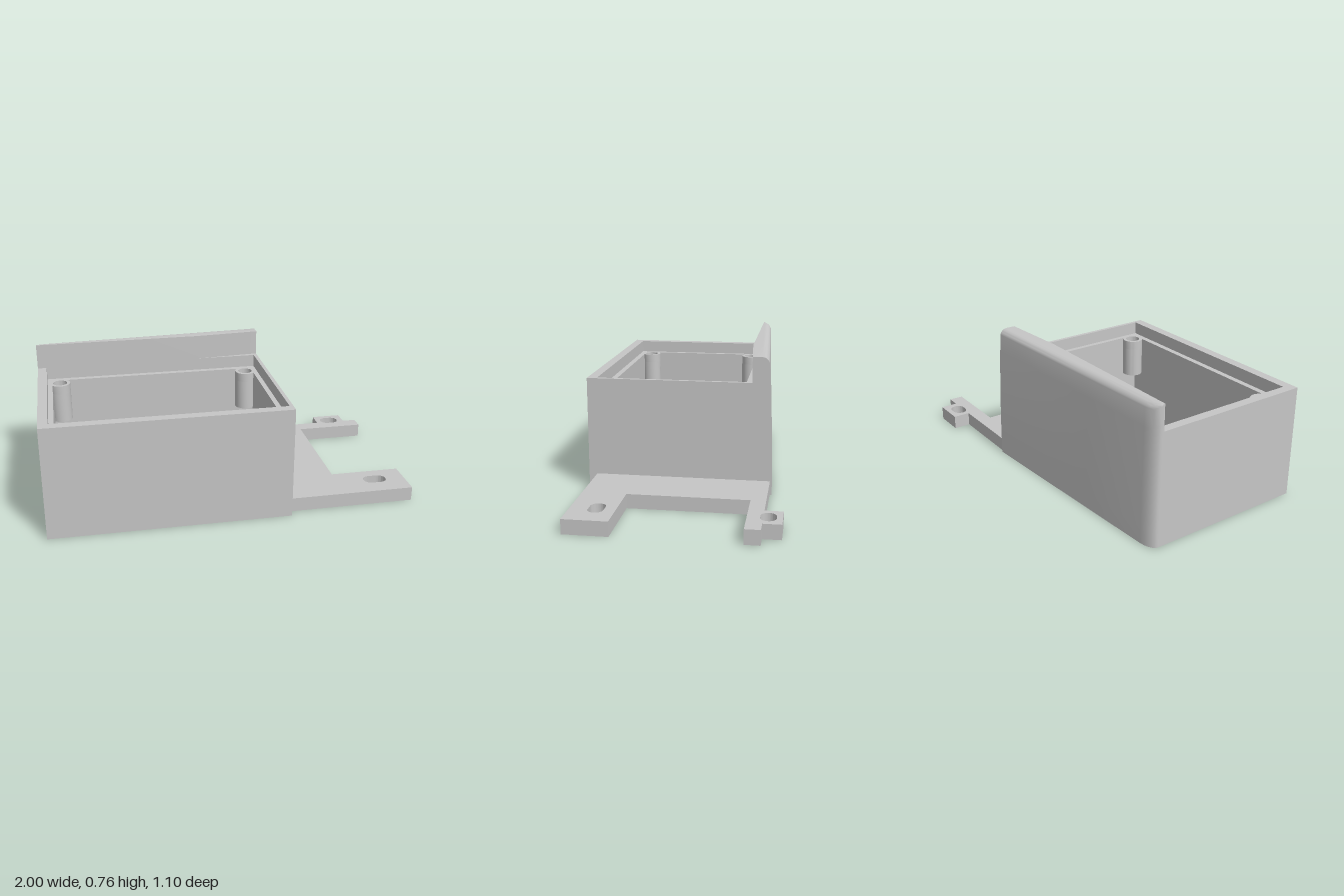
import * as THREE from 'three';
import { toCreasedNormals } from 'three/addons/utils/BufferGeometryUtils.js';

const grey = new THREE.MeshStandardMaterial({ color: 0xc6c6c6 });
grey.name = 'plain grey';

const H = 0.62, TOP = 0.76, LEDGE = 0.55, POST_BASE = 0.33;

// Plan points are [x, z]; shapes use y = -z so they can be laid flat
const toPlan = (pts) => pts.map(([x, z]) => new THREE.Vector2(x, -z));
const rect = (x0, x1, z0, z1) => toPlan([[x0, z1], [x1, z1], [x1, z0], [x0, z0]]);

function circle(x, z, r) {
  return new THREE.Path().absarc(x, -z, r, 0, Math.PI * 2).getPoints(16).slice(0, -1);
}

function slot(x, z, w, h) {
  const r = h / 2, d = w / 2 - r;
  const path = new THREE.Path();
  path.absarc(x + d, -z, r, -Math.PI / 2, Math.PI / 2);
  path.absarc(x - d, -z, r, Math.PI / 2, Math.PI * 1.5);
  return path.getPoints(12);
}

// Upright slab from a counter-clockwise plan outline with holes
function slab(name, outline, holes, y0, y1) {
  const shape = new THREE.Shape(outline);
  shape.holes = holes.map((h) => new THREE.Path(h));
  const geo = new THREE.ExtrudeGeometry(shape, { depth: y1 - y0, bevelEnabled: false });
  geo.rotateX(-Math.PI / 2).translate(0, y0, 0);
  const mesh = new THREE.Mesh(toCreasedNormals(geo, 0.6), grey);
  mesh.name = name;
  return mesh;
}

// Cross-section of the slanted back wall at x, as [-z, y], counter-clockwise
function backSection(x) {
  const t = Math.min(1, (x + 1) / 0.08);
  const straight = 0.466 - 0.0656 * (0.3 - x);
  const base = 0.338 + (straight - 0.338) * Math.sqrt(1 - (1 - t) ** 2);
  const lean = 0.024 * (0.3 + 0.7 * (x + 1) / 1.3);
  const back = (y) => base - lean * (y / 0.72) ** 2;
  const front = 0.325 + 0.026 * Math.max(0, (x + 0.07) / 0.37);
  const r = Math.min(0.04, 0.8 * (back(0.72) - front));
  const pts = [[0.328, 0]];
  for (let i = 0; i <= 8; i++) {
    const y = (TOP - r) * i / 8;
    pts.push([back(y), y]);
  }
  const cx = back(TOP - r) - r;
  for (let i = 1; i <= 8; i++) {
    const a = i / 8 * Math.PI / 2;
    pts.push([cx + r * Math.cos(a), TOP - r + r * Math.sin(a)]);
  }
  pts.push([front, TOP], [front, H], [0.328, H]);
  return pts;
}

// Loft the back wall and lip along x
function backWall() {
  const xs = [-1, -0.998, -0.993, -0.983, -0.97, -0.95, -0.92, -0.5, -0.07, 0.3];
  const sections = xs.map(backSection);
  const n = sections[0].length;
  const pos = [], index = [];
  sections.forEach((s, i) => s.forEach(([u, y]) => pos.push(xs[i], y, -u)));
  for (let i = 0; i < xs.length - 1; i++) {
    for (let j = 0; j < n; j++) {
      const k = (j + 1) % n;
      const a = i * n + j, b = i * n + k, c = b + n, d = a + n;
      index.push(a, b, c, a, c, d);
    }
  }
  // End caps
  for (const i of [0, xs.length - 1]) {
    const contour = sections[i].map(([u, y]) => new THREE.Vector2(u, y));
    for (const [a, b, c] of THREE.ShapeUtils.triangulateShape(contour, [])) {
      const o = i * n;
      if (i) index.push(o + a, o + b, o + c);
      else index.push(o + a, o + c, o + b);
    }
  }
  const geo = new THREE.BufferGeometry();
  geo.setAttribute('position', new THREE.Float32BufferAttribute(pos, 3));
  geo.setIndex(index);
  const mesh = new THREE.Mesh(toCreasedNormals(geo, 0.6), grey);
  mesh.name = 'backWall';
  return mesh;
}

export function createModel() {
  const model = new THREE.Group();
  model.name = 'mountingBox';

  // Open box walls: notched corners below, filled corners in the middle, recessed rim on top
  const outline = rect(-1, 0.3, -0.33, 0.55);
  const notched = toPlan([
    [-0.95, -0.325], [-0.845, -0.325], [-0.845, -0.293], [0.175, -0.293], [0.175, -0.325], [0.28, -0.325],
    [0.28, -0.215], [0.253, -0.215], [0.253, 0.385], [0.28, 0.385], [0.28, 0.497],
    [0.175, 0.497], [0.175, 0.465], [-0.845, 0.465], [-0.845, 0.497], [-0.95, 0.497],
    [-0.95, 0.385], [-0.923, 0.385], [-0.923, -0.215], [-0.95, -0.215],
  ]);
  const chamfered = toPlan([
    [-0.923, -0.27], [-0.9, -0.293], [0.23, -0.293], [0.253, -0.27],
    [0.253, 0.442], [0.23, 0.465], [-0.9, 0.465], [-0.923, 0.442],
  ]);
  model.add(
    slab('lowerWalls', outline, [notched], 0, POST_BASE),
    slab('middleWalls', outline, [chamfered], POST_BASE, LEDGE),
    slab('rim', outline, [rect(-0.95, 0.28, -0.325, 0.497)], LEDGE, H),
    backWall(),
  );

  // Corner screw posts with a wider bore at the top
  for (const x of [-0.88, 0.21]) {
    for (const z of [-0.25, 0.422]) {
      const post = new THREE.Group();
      post.name = 'screwPost';
      post.add(
        slab('postShaft', circle(x, z, 0.058), [circle(x, z, 0.022)], POST_BASE, 0.5),
        slab('postCollar', circle(x, z, 0.058), [circle(x, z, 0.04)], 0.5, LEDGE),
      );
      model.add(post);
    }
  }

  // Forked mounting plate with slotted arms
  const plate = toPlan([
    [0.295, 0.505], [1, 0.505], [1, 0.27], [0.61, 0.27], [0.61, -0.375], [1, -0.375],
    [1, -0.455], [0.92, -0.455], [0.92, -0.55], [0.745, -0.55], [0.745, -0.455], [0.295, -0.455],
  ]);
  model.add(slab('mountingPlate', plate,
    [slot(0.83, -0.48, 0.11, 0.08), slot(0.83, 0.37, 0.13, 0.08)], 0, 0.078));

  return model;
}
